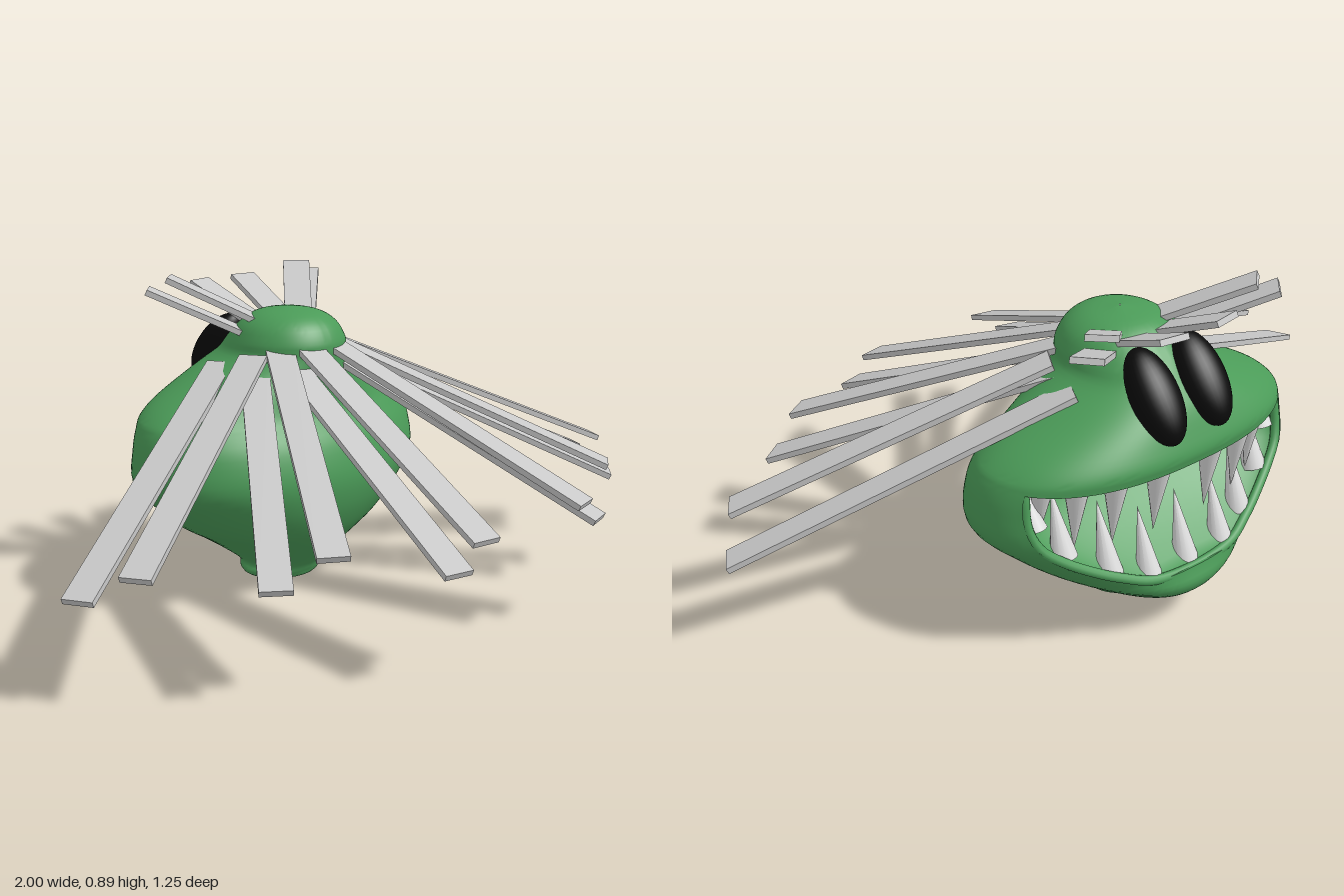
import * as THREE from 'three';
import { toCreasedNormals } from 'three/addons/utils/BufferGeometryUtils.js';

// Horizontal sections of the head, top to bottom: y, half width, +z edge, -z edge, centre z
const SECTIONS = [
  [0.81, 0.002, -0.278, -0.282, -0.28], [0.795, 0.085, -0.19, -0.37, -0.28],
  [0.765, 0.135, -0.14, -0.42, -0.28], [0.72, 0.162, -0.115, -0.47, -0.28],
  [0.68, 0.18, -0.112, -0.505, -0.3], [0.63, 0.265, -0.115, -0.545, -0.33],
  [0.57, 0.385, -0.115, -0.575, -0.34], [0.53, 0.445, -0.108, -0.59, -0.335],
  [0.5, 0.468, -0.092, -0.587, -0.33], [0.44, 0.485, -0.057, -0.585, -0.33],
  [0.35, 0.485, -0.035, -0.6, -0.33], [0.27, 0.415, -0.045, -0.61, -0.33],
  [0.2, 0.335, -0.075, -0.612, -0.33], [0.15, 0.255, -0.11, -0.625, -0.33],
  [0.1, 0.18, -0.155, -0.585, -0.33], [0.05, 0.12, -0.2, -0.465, -0.33],
  [0.025, 0.125, -0.215, -0.44, -0.33], [0.006, 0.1, -0.235, -0.41, -0.33],
  [0.006, 0.001, -0.329, -0.331, -0.33],
];
const MOUTH_TOP = 8, MOUTH_BOTTOM = 12, LAST = SECTIONS.length - 1, RIM_U = 0.66;
const V = (x, y, z) => new THREE.Vector3(x, y, z);
const curveOf = (f) => new THREE.CatmullRomCurve3(SECTIONS.map(f), false, 'catmullrom', 0.5);
const widths = curveOf((s) => V(s[0], s[1], s[4]));
const depths = curveOf((s) => V(s[0], s[2], s[3]));

function sectionAt(t) {
  const a = widths.getPoint(t / LAST), b = depths.getPoint(t / LAST);
  return { y: a.x, w: a.y, zc: a.z, zb: b.y, zf: b.z };
}

// Point on the outer skin; angle 0 faces +z and PI faces -z (the face side, slightly squared)
function skin(t, angle) {
  const s = sectionAt(t), c = Math.cos(angle), sin = Math.sin(angle);
  const squared = THREE.MathUtils.smoothstep(t, 3, 6) * (1 - THREE.MathUtils.smoothstep(t, 12, 15));
  const across = c > 0 ? sin : Math.sign(sin) * Math.abs(sin) ** (1 - 0.2 * squared);
  return V(s.w * across, s.y, s.zc + c * (c > 0 ? s.zb - s.zc : s.zc - s.zf));
}

// Angle at which the skin ends on the mouth rim
function rimAngle(t) {
  const s = sectionAt(t), k = (0.5 - s.y) / 0.3;
  return Math.acos(Math.max(-1, (-0.445 - 0.155 * k * k - s.zc) / (s.zc - s.zf)));
}

// Half ring, u from 0 at the rear to 1 at the face; mouth rings fold into the cavity
function headPoint(t, u, mouth) {
  let edge = RIM_U * Math.PI;
  if (mouth) edge = rimAngle(t);
  else if (t >= MOUTH_BOTTOM) edge = THREE.MathUtils.lerp(rimAngle(MOUTH_BOTTOM), edge, Math.min(1, (t - MOUTH_BOTTOM) / 3));
  else if (t > 5) edge = THREE.MathUtils.lerp(edge, rimAngle(MOUTH_TOP), (t - 5) / 3);
  if (u <= RIM_U) return skin(t, edge * u / RIM_U);
  const f = (u - RIM_U) / (1 - RIM_U);
  if (!mouth) return skin(t, THREE.MathUtils.lerp(edge, Math.PI, f));
  const rim = skin(t, edge), k = (0.5 - rim.y) / 0.3, a = f * Math.PI / 2;
  const deep = -0.3 - 0.29 * k * k;
  return V(rim.x * Math.cos(a), rim.y, rim.z + (deep - rim.z) * Math.sin(a));
}

function headGeometry() {
  const rows = [], N = 100, pos = [], idx = [];
  const addRows = (from, to, mouth) => {
    for (let t = from; t <= to + 1e-6; t += 0.25) rows.push([t, mouth]);
  };
  addRows(0, MOUTH_TOP, false);
  addRows(MOUTH_TOP, MOUTH_BOTTOM, true);
  addRows(MOUTH_BOTTOM, LAST, false);
  rows.forEach(([t, mouth], i) => {
    for (let j = 0; j < N; j++) {
      const u = 2 * j / N, p = headPoint(t, u > 1 ? 2 - u : u, mouth);
      pos.push(u > 1 ? -p.x : p.x, p.y, p.z);
      if (i === rows.length - 1) continue;
      const a = i * N + j, b = i * N + (j + 1) % N;
      idx.push(a, a + N, b, b, a + N, b + N);
    }
  });
  const g = new THREE.BufferGeometry();
  g.setAttribute('position', new THREE.Float32BufferAttribute(pos, 3));
  g.setIndex(idx);
  return toCreasedNormals(g, 0.9);
}

// Closed loop rounding the mouth edge
function lipGeometry() {
  const pts = [], a0 = rimAngle(MOUTH_TOP);
  for (let i = 0; i <= 12; i++) {
    const p = skin(MOUTH_TOP, a0 + (2 * Math.PI - 2 * a0) * i / 12);
    pts.push(V(p.x * 0.97, p.y + 0.007, p.z + 0.013));
  }
  for (let i = 1; i <= 16; i++) {
    const side = i <= 8 ? -1 : 1, t = MOUTH_TOP + (i <= 8 ? i : 17 - i) / 2;
    if (t === MOUTH_TOP) continue;
    const p = skin(t, rimAngle(t));
    pts.push(V(side * p.x * 0.97, p.y - 0.003, p.z + 0.008));
  }
  return new THREE.TubeGeometry(new THREE.CatmullRomCurve3(pts, true), 120, 0.013, 10, true);
}

export function createModel() {
  const model = new THREE.Group();
  const material = (name, color) => {
    const m = new THREE.MeshStandardMaterial({ color });
    m.name = name;
    return m;
  };
  const green = material('green skin', 0x4b9b58);
  const grey = material('grey planks', 0xc8c8c8);
  const white = material('pale teeth', 0xdcdcdc);
  const black = material('black eyes', 0x0a0a0a);
  const add = (name, geometry, mat, parent = model) => {
    const mesh = new THREE.Mesh(geometry, mat);
    mesh.name = name;
    parent.add(mesh);
    return mesh;
  };
  const group = (name) => {
    const g = new THREE.Group();
    g.name = name;
    model.add(g);
    return g;
  };

  add('head', headGeometry(), green);
  add('lips', lipGeometry(), green);

  // Eyes: tilted flattened ovals
  for (const side of [-1, 1]) {
    const eye = add(side > 0 ? 'leftEye' : 'rightEye', new THREE.SphereGeometry(1, 32, 20), black);
    eye.scale.set(0.066, 0.128, 0.054);
    eye.position.set(side * 0.077, 0.674, -0.504);
    eye.rotation.x = 0.7;
  }

  // Teeth: cones set just inside the mouth rim
  const teeth = group('teeth');
  const tooth = (name, base, dir, length) => {
    const g = new THREE.ConeGeometry(0.036, length, 14).translate(0, length / 2, 0);
    const mesh = add(name, g, white, teeth);
    mesh.position.copy(base);
    mesh.quaternion.setFromUnitVectors(V(0, 1, 0), dir.normalize());
  };
  const start = rimAngle(MOUTH_TOP) + 0.12;
  for (let i = 0; i < 8; i++) {
    const p = skin(MOUTH_TOP, start + (2 * Math.PI - 2 * start) * i / 7);
    tooth('upperTooth', V(p.x * 0.9, 0.51, p.z + 0.045), V(0, -1, 0.05), i % 7 ? 0.21 : 0.16);
  }
  // Lower teeth: rim position, fraction of rim width, length
  for (const [t, across, length] of [[12, 0, 0.2], [12, 1, 0.2], [11.4, 0.92, 0.2], [10.5, 0.9, 0.18], [9.5, 0.9, 0.11]]) {
    const p = skin(t, rimAngle(t));
    for (const side of across ? [-1, 1] : [0]) {
      tooth('lowerTooth', V(side * p.x * across, p.y - 0.015, p.z + 0.036), V(0, 1, 0.3), length);
    }
  }

  // Planks: inner end x, y, z then outer end x, y, z; mirrored across the middle
  const planks = group('planks');
  const PLANKS = [
    [0.2, 0.66, -0.345, 0.98, 0.273, 0.047], [0.18, 0.69, -0.23, 0.905, 0.337, 0.168],
    [0.16, 0.66, -0.25, 0.675, 0.3, 0.383], [0.11, 0.705, -0.2, 0.557, 0.367, 0.45],
    [0.095, 0.66, -0.16, 0.293, 0.297, 0.604], [0.05, 0.705, -0.14, 0.207, 0.36, 0.616],
    [0.1, 0.73, -0.33, 0.31, 0.859, -0.525], [0.07, 0.765, -0.31, 0.25, 0.889, -0.505],
    [0.045, 0.745, -0.33, 0.085, 0.859, -0.57],
  ];
  for (const [ax, ay, az, bx, by, bz] of PLANKS) {
    for (const side of [-1, 1]) {
      const a = V(side * ax, ay, az), b = V(side * bx, by, bz);
      const mesh = add('plank', new THREE.BoxGeometry(0.08, 0.016, a.distanceTo(b)), grey, planks);
      mesh.position.copy(a).lerp(b, 0.5);
      mesh.lookAt(b);
    }
  }
  return model;
}
